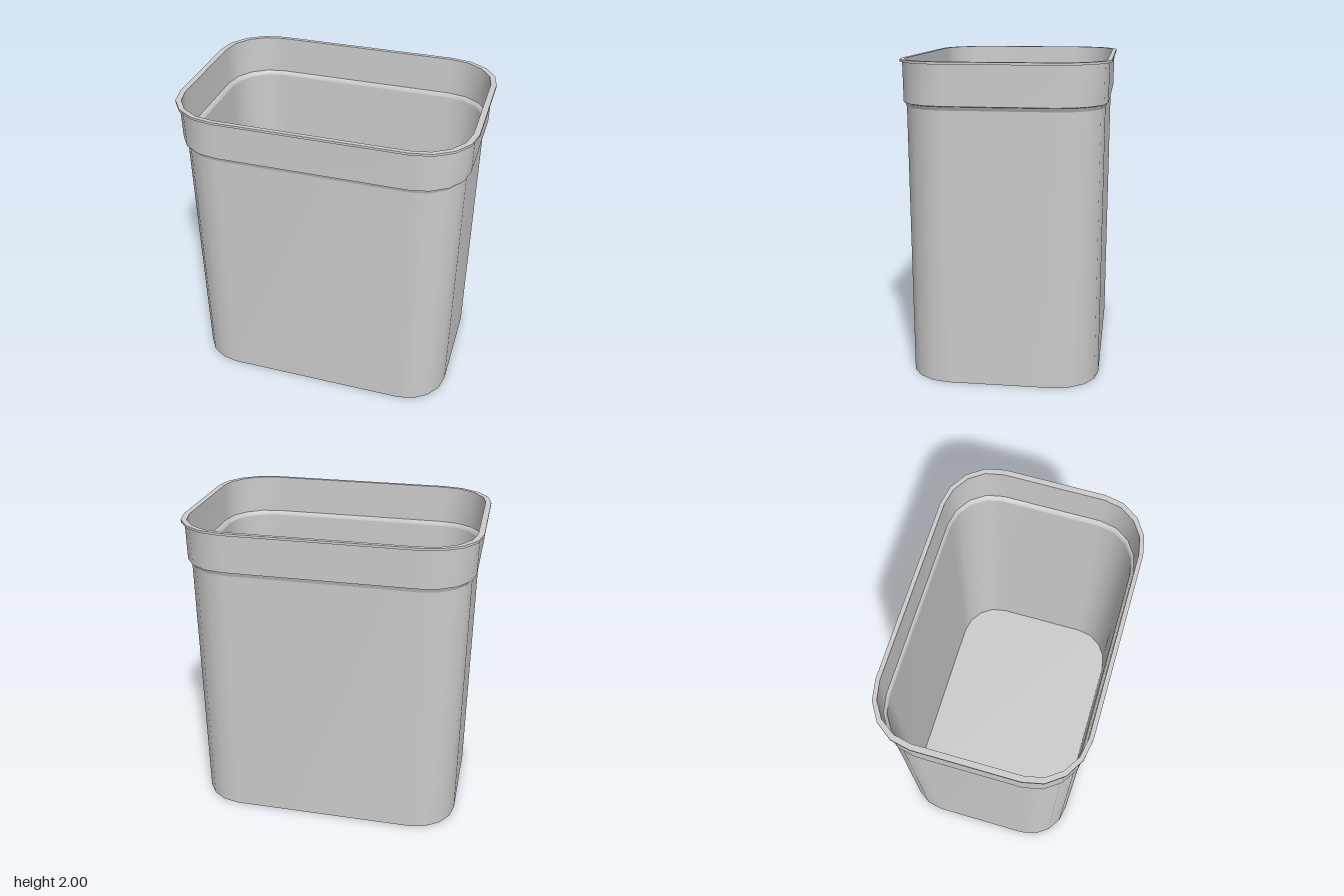
import * as THREE from 'three';

const CX = 0.6, CZ = 0.325, STEPS = 4;

// Rounded-rectangle outline with half sizes hx, hz: a quarter arc at each corner
function outline(hx, hz) {
  const pts = [];
  for (let q = 0; q < 4; q++) {
    const sx = q === 0 || q === 3 ? 1 : -1;
    const sz = q < 2 ? 1 : -1;
    for (let i = 0; i <= STEPS; i++) {
      const a = (q + i / STEPS) * Math.PI / 2;
      pts.push([sx * CX + (hx - CX) * Math.cos(a), sz * CZ + (hz - CZ) * Math.sin(a)]);
    }
  }
  return pts;
}

// Smooth band through rings [hx, hz, y]; rings run up the outside, down the inside
function band(rings) {
  const pos = [], index = [];
  const n = 4 * (STEPS + 1);
  for (const [hx, hz, y] of rings) {
    for (const [x, z] of outline(hx, hz)) pos.push(x, y, z);
  }
  for (let r = 0; r < rings.length - 1; r++) {
    for (let j = 0; j < n; j++) {
      const a = r * n + j, b = r * n + (j + 1) % n;
      index.push(a, a + n, b, b, a + n, b + n);
    }
  }
  const g = new THREE.BufferGeometry();
  g.setAttribute('position', new THREE.Float32BufferAttribute(pos, 3));
  g.setIndex(index);
  g.computeVertexNormals();
  return g;
}

// Flat plate facing up (dir 1) or down (dir -1)
function plate(hx, hz, y, dir) {
  const shape = new THREE.Shape(outline(hx, hz).map(([x, z]) => new THREE.Vector2(x, z)));
  return new THREE.ShapeGeometry(shape).rotateX(-dir * Math.PI / 2).translate(0, y, 0);
}

export function createModel() {
  const model = new THREE.Group();
  const plastic = new THREE.MeshStandardMaterial({ color: 0xcccccc });
  plastic.name = 'grey plastic';

  // Each entry is a run of rings; runs meet at sharp edges
  const parts = {
    outerWall: [[0.882, 0.602, 0], [0.893, 0.61, 1.715]],
    neck: [[0.893, 0.61, 1.715], [0.905, 0.618, 1.738]],
    collarUnderside: [[0.905, 0.618, 1.738], [0.918, 0.628, 1.742]],
    collar: [[0.918, 0.628, 1.742], [0.921, 0.631, 1.985]],
    rimUnderside: [[0.921, 0.631, 1.985], [0.945, 0.645, 1.985]],
    rimEdge: [[0.945, 0.645, 1.985], [0.945, 0.645, 2]],
    rimTop: [[0.945, 0.645, 2], [0.908, 0.618, 2]],
    collarInside: [[0.908, 0.618, 2], [0.905, 0.615, 1.752]],
    innerLedge: [[0.905, 0.615, 1.752], [0.892, 0.604, 1.748], [0.882, 0.598, 1.725]],
    innerWall: [[0.882, 0.598, 1.725], [0.87, 0.59, 0.015]],
  };
  const add = (name, geometry) => {
    const mesh = new THREE.Mesh(geometry, plastic);
    mesh.name = name;
    model.add(mesh);
  };
  for (const [name, rings] of Object.entries(parts)) add(name, band(rings));

  // Floor inside and base underneath
  add('floor', plate(0.87, 0.59, 0.015, 1));
  add('base', plate(0.882, 0.602, 0, -1));
  return model;
}
